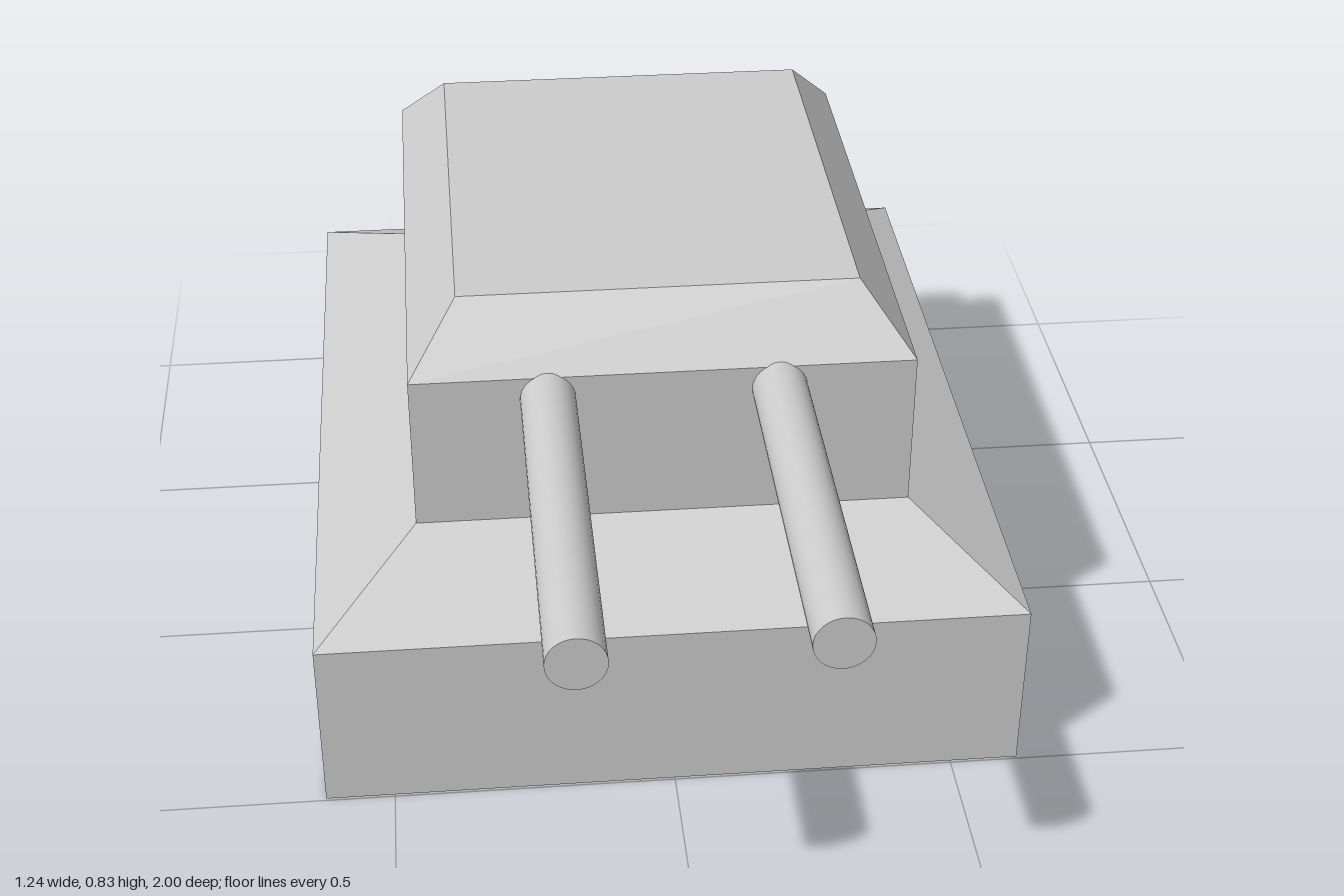
import * as THREE from 'three';

const CENTER_Z = -0.2525;
const material = new THREE.MeshStandardMaterial({ color: 0xcccccc, flatShading: true });
const smooth = new THREE.MeshStandardMaterial({ color: 0xcccccc });

// Rectangular rings [y, half width, half depth] joined by flat walls
function loft(rings, capBottom, capTop) {
  const pos = [];
  const corners = ([y, w, d]) => [[-w, y, d], [w, y, d], [w, y, -d], [-w, y, -d]];
  const quad = (a, b, c, d) => pos.push(...a, ...b, ...c, ...a, ...c, ...d);
  for (let i = 0; i < rings.length - 1; i++) {
    const lo = corners(rings[i]), hi = corners(rings[i + 1]);
    for (let k = 0; k < 4; k++) {
      const n = (k + 1) % 4;
      quad(lo[k], lo[n], hi[n], hi[k]);
    }
  }
  if (capBottom) quad(...corners(rings[0]).reverse());
  if (capTop) quad(...corners(rings[rings.length - 1]));
  const geo = new THREE.BufferGeometry();
  geo.setAttribute('position', new THREE.Float32BufferAttribute(pos, 3));
  geo.computeVertexNormals();
  return geo;
}

export function createModel() {
  const model = new THREE.Group();
  model.name = 'gunTurret';

  const add = (name, geo, mat, x, y, z) => {
    const mesh = new THREE.Mesh(geo, mat);
    mesh.name = name;
    mesh.position.set(x, y, z);
    model.add(mesh);
  };

  // Base with sloping deck
  add('base', loft([[0, 0.622, 0.7475], [0.325, 0.622, 0.7475], [0.432, 0.438, 0.5275]], true, false),
    material, 0, 0, CENTER_Z);

  // Turret with bevelled roof
  add('turret', loft([[0.432, 0.438, 0.5275], [0.72, 0.438, 0.5275], [0.827, 0.35, 0.4225]], false, true),
    material, 0, 0, CENTER_Z);

  // Twin barrels, the right one slightly longer
  const start = 0.25;
  for (const [name, x, end] of [['rightBarrel', -0.2, 1], ['leftBarrel', 0.2, 0.987]]) {
    const geo = new THREE.CylinderGeometry(0.048, 0.048, end - start, 32).rotateX(Math.PI / 2);
    add(name, geo, smooth, x, 0.678, (start + end) / 2);
  }
  return model;
}
